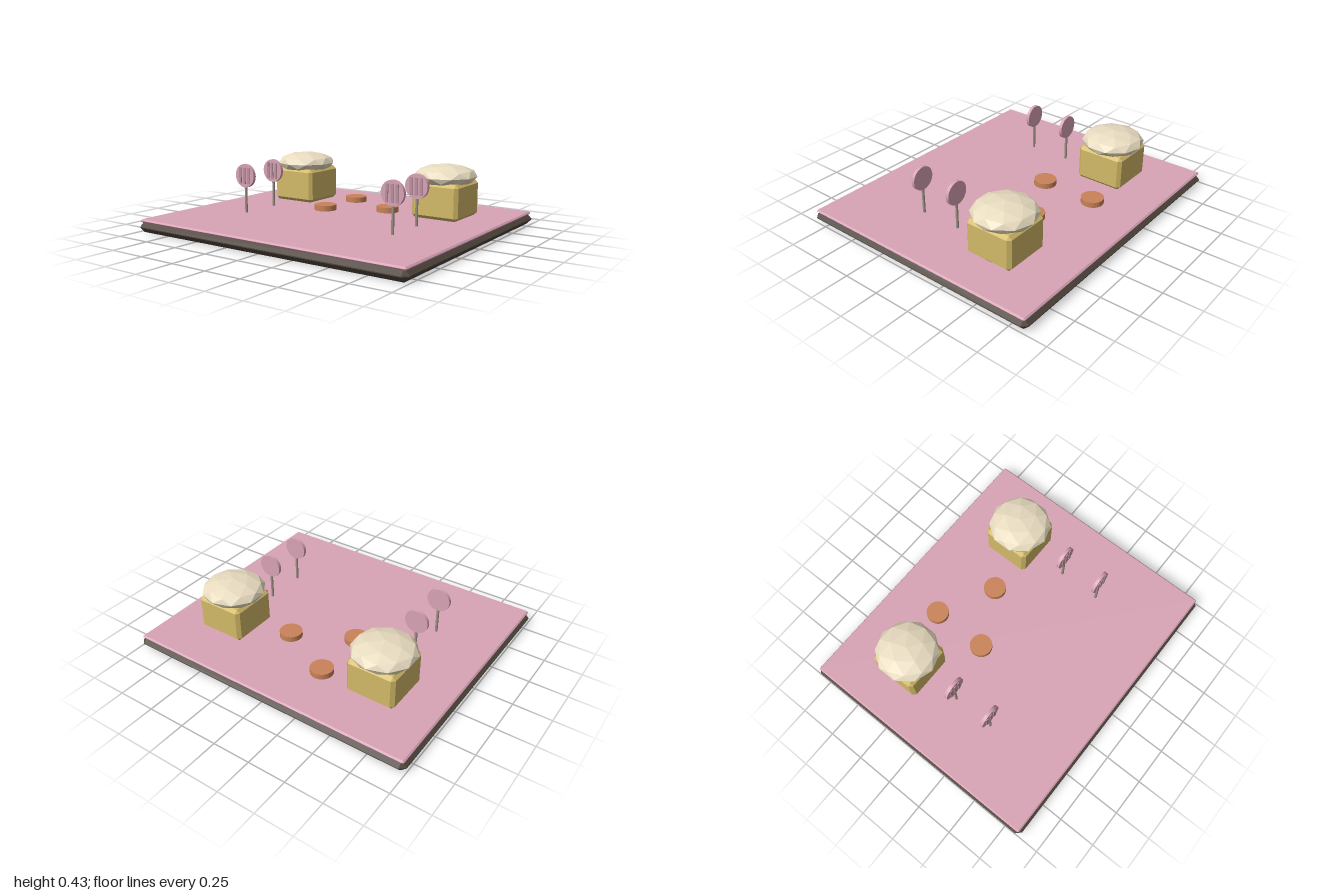
import * as THREE from 'three';
import { ConvexGeometry } from 'three/addons/geometries/ConvexGeometry.js';

const mat = (color) => new THREE.MeshStandardMaterial({ color, flatShading: true });
const smooth = (color) => new THREE.MeshStandardMaterial({ color });

// Box with all edges cut by a bevel c, standing on its local y = 0
function chamferBox(w, h, d, c) {
  const pts = [];
  for (const sx of [-1, 1]) for (const sy of [-1, 1]) for (const sz of [-1, 1]) {
    for (const cut of [[0, 1, 1], [1, 0, 1], [1, 1, 0]]) {
      pts.push(new THREE.Vector3(
        sx * (w / 2 - c * cut[0]),
        h / 2 + sy * (h / 2 - c * cut[1]),
        sz * (d / 2 - c * cut[2])));
    }
  }
  return new ConvexGeometry(pts);
}

export function createModel() {
  const model = new THREE.Group();
  const add = (parent, name, geometry, material, x = 0, y = 0, z = 0) => {
    const mesh = new THREE.Mesh(geometry, material);
    mesh.name = name;
    mesh.position.set(x, y, z);
    parent.add(mesh);
    return mesh;
  };
  const pink = smooth(0xd8a3b5);
  const groundY = 0.085;

  // Ground: dark bevelled base under a thin pink slab
  add(model, 'base', chamferBox(2, 0.072, 1.72, 0.033), mat(0x50453d));
  add(model, 'groundSlab', chamferBox(1.975, 0.02, 1.69, 0.009), mat(0xd8a3b5), 0, 0.065, 0);

  // Low-poly frosting: icosphere with a vertex on top, squashed
  const frosting = new THREE.IcosahedronGeometry(1, 1);
  frosting.rotateZ(Math.atan(2 / (1 + Math.sqrt(5))));
  frosting.scale(0.207, 0.075, 0.207);
  const block = chamferBox(0.33, 0.238, 0.33, 0.022);

  // Lollipop geometries
  const stick = new THREE.CylinderGeometry(0.009, 0.009, 0.2, 12);
  const head = new THREE.CylinderGeometry(0.079, 0.079, 0.022, 32).rotateX(Math.PI / 2);
  const stripe = new THREE.BoxGeometry(0.017, 0.11, 0.012);

  for (const side of [-1, 1]) {
    const x = side * 0.573;

    const cake = new THREE.Group();
    cake.name = side > 0 ? 'leftCake' : 'rightCake';
    cake.position.set(x, groundY, -0.38);
    add(cake, 'cakeBlock', block, mat(0xd2b968));
    add(cake, 'cakeFrosting', frosting, mat(0xe8dcc0), 0, 0.27, 0);
    model.add(cake);

    for (const z of [0, 0.285]) {
      const pop = new THREE.Group();
      pop.name = 'lollipop';
      pop.position.set(x, groundY, z);
      add(pop, 'stick', stick, smooth(0x9c9284), 0, 0.1, 0);
      add(pop, 'candyDisc', head, pink, 0, 0.25, 0);
      for (const i of [-1, 0, 1]) {
        add(pop, 'candyStripe', stripe, smooth(0xb8909c), i * 0.035, 0.25, 0.011);
      }
      model.add(pop);
    }
  }

  // Round stepping discs
  const disc = new THREE.CylinderGeometry(0.075, 0.075, 0.04, 32);
  for (const [x, z] of [[-0.195, -0.48], [0.187, -0.29], [-0.195, -0.1]]) {
    add(model, 'steppingDisc', disc, mat(0xc98358), x, 0.102, z);
  }
  return model;
}
